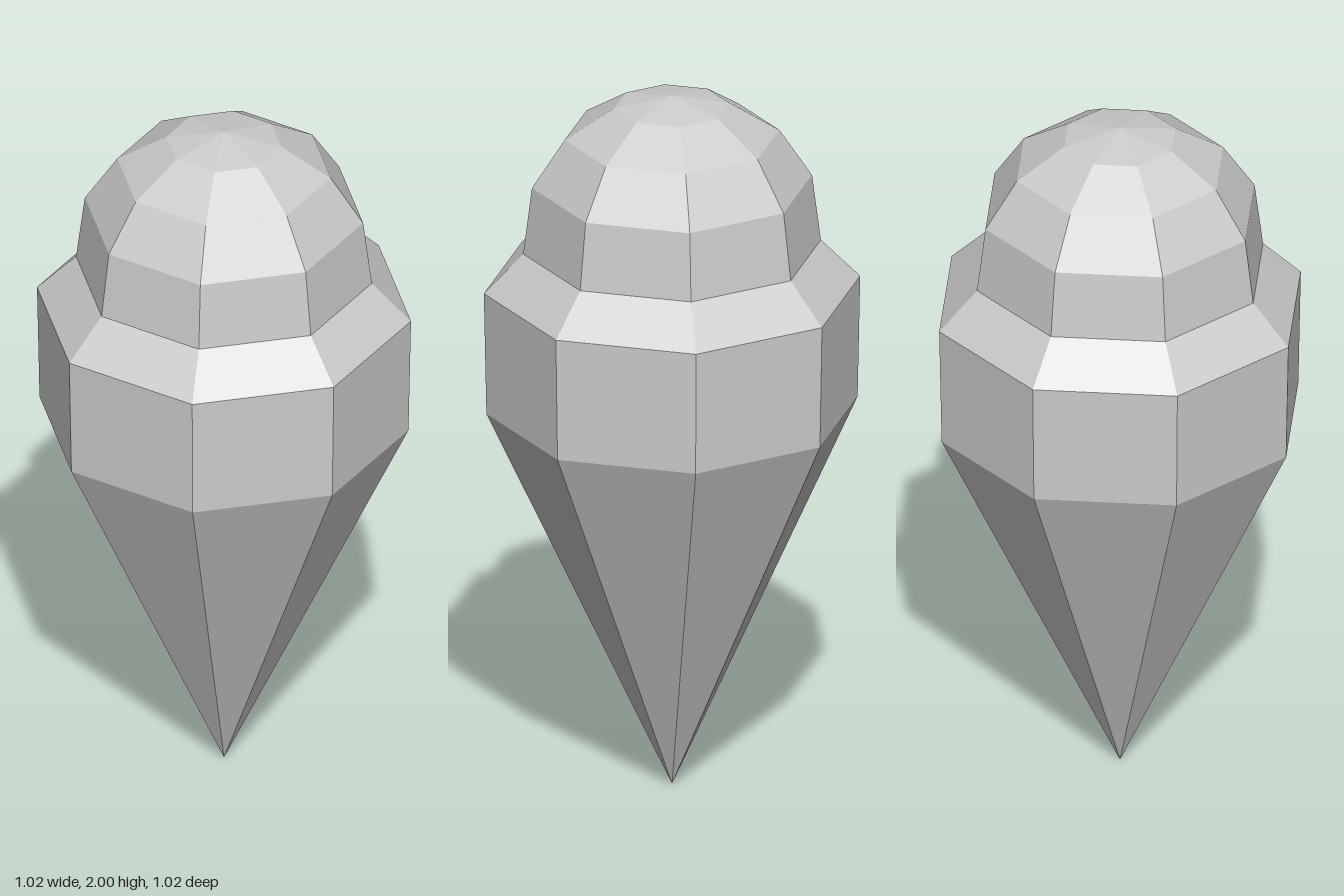
import * as THREE from 'three';

const SIDES = 8;

// Faceted solid of revolution; profile is [radius, height] from bottom to top
function turned(name, profile, material) {
  const points = profile.map(([r, y]) => new THREE.Vector2(r, y));
  const mesh = new THREE.Mesh(new THREE.LatheGeometry(points, SIDES), material);
  mesh.name = name;
  return mesh;
}

export function createModel() {
  const group = new THREE.Group();
  group.name = 'iceCreamCone';
  const material = new THREE.MeshStandardMaterial({ color: 0xcccccc, flatShading: true });

  // Pointed cone
  group.add(turned('cone', [[0, 0], [0.505, 1.1]], material));

  // Wide band with its sloped shoulder
  group.add(turned('rim', [[0.505, 1.1], [0.512, 1.45], [0.405, 1.56]], material));

  // Rounded scoop on top
  group.add(turned('scoop', [
    [0.405, 1.56], [0.381, 1.75], [0.292, 1.885], [0.157, 1.97], [0, 2],
  ], material));

  return group;
}
